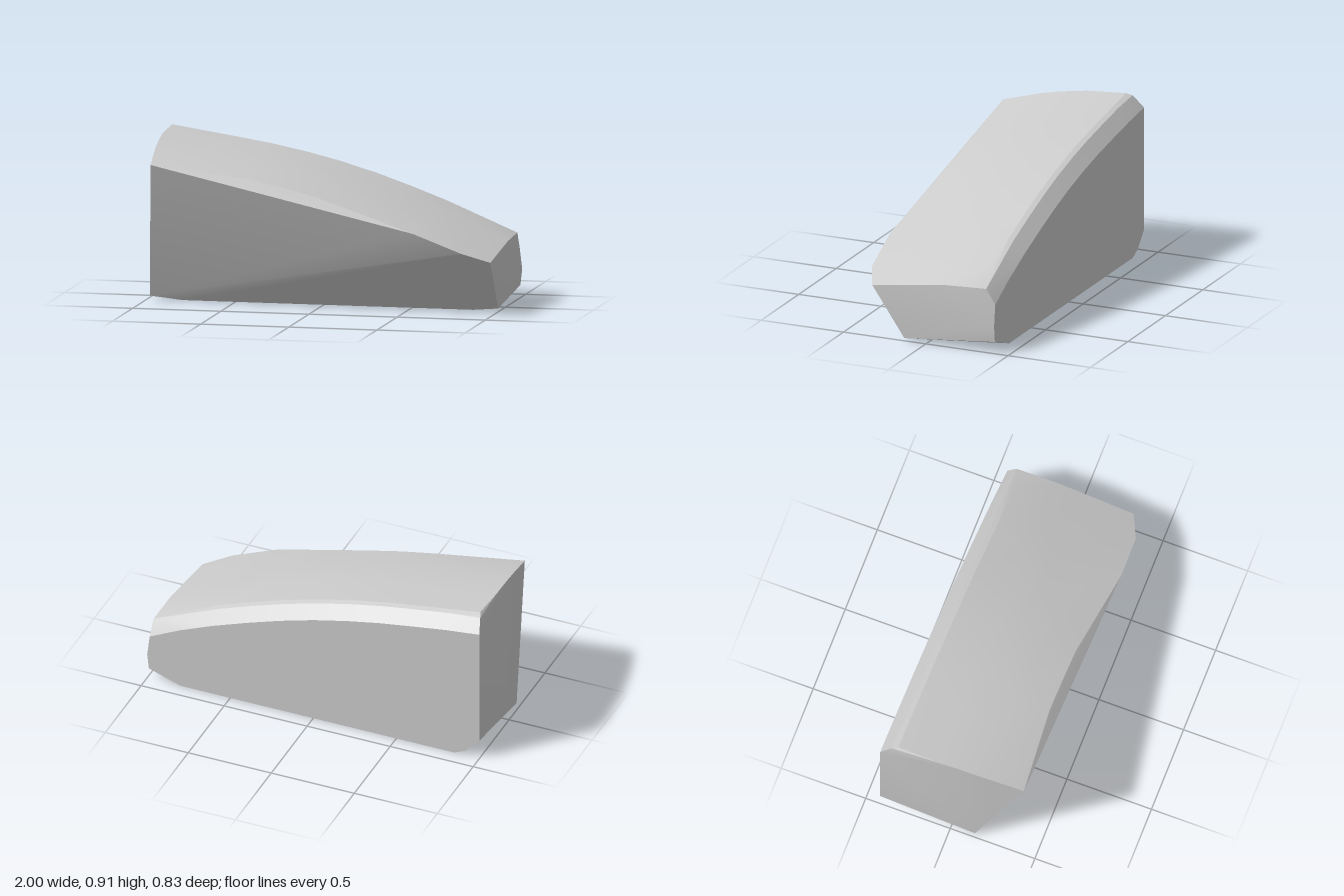
import * as THREE from 'three';
import { ConvexGeometry } from 'three/addons/geometries/ConvexGeometry.js';
import { toCreasedNormals } from 'three/addons/utils/BufferGeometryUtils.js';

export function createModel() {
  const group = new THREE.Group();
  const points = [];
  const add = (...list) => list.forEach(p => points.push(new THREE.Vector3(...p)));

  // Domed top: ridge height along x, dropping away towards the front
  const ridge = [[-0.8, 0.887], [-0.6, 0.857], [-0.4, 0.825], [-0.2, 0.785], [0, 0.737],
    [0.2, 0.678], [0.4, 0.61], [0.6, 0.536], [0.8, 0.452]];
  const drop = [[-0.415, 0.08], [-0.35, 0.008], [-0.32, 0], [-0.08, 0.019], [0.06, 0.039],
    [0.18, 0.06], [0.36, 0.1]];
  for (const [x, y] of ridge) for (const [z, d] of drop) add([x, y - d, z]);

  // Tall end
  add([-1, 0.83, -0.415], [-0.98, 0.9, -0.355], [-0.965, 0.912, -0.32], [-0.965, 0.893, -0.08],
    [-0.955, 0.873, 0.06], [-0.945, 0.85, 0.18], [-0.92, 0.79, 0.405],
    [-1, 0.12, -0.415], [-0.985, 0.02, 0.14]);

  // Low end
  add([0.985, 0.28, -0.415], [0.985, 0.365, -0.36], [0.99, 0.355, -0.11], [0.99, 0.295, 0.33],
    [1, 0.155, -0.415], [0.99, 0.065, -0.415], [0.99, 0.012, 0.135]);

  // Upper edge of the front face
  add([0.57, 0.455, 0.415], [0.84, 0.35, 0.4]);

  // Flat underside
  add([-0.8, 0, 0.135], [0.85, 0, 0.135], [-0.85, 0, -0.415], [0.8, 0, -0.415], [-0.915, 0.03, -0.415]);

  const mesh = new THREE.Mesh(
    toCreasedNormals(new ConvexGeometry(points), 0.3),
    new THREE.MeshStandardMaterial({ color: 0xcccccc }));
  mesh.name = 'wedgeBlock';
  group.add(mesh);
  return group;
}
